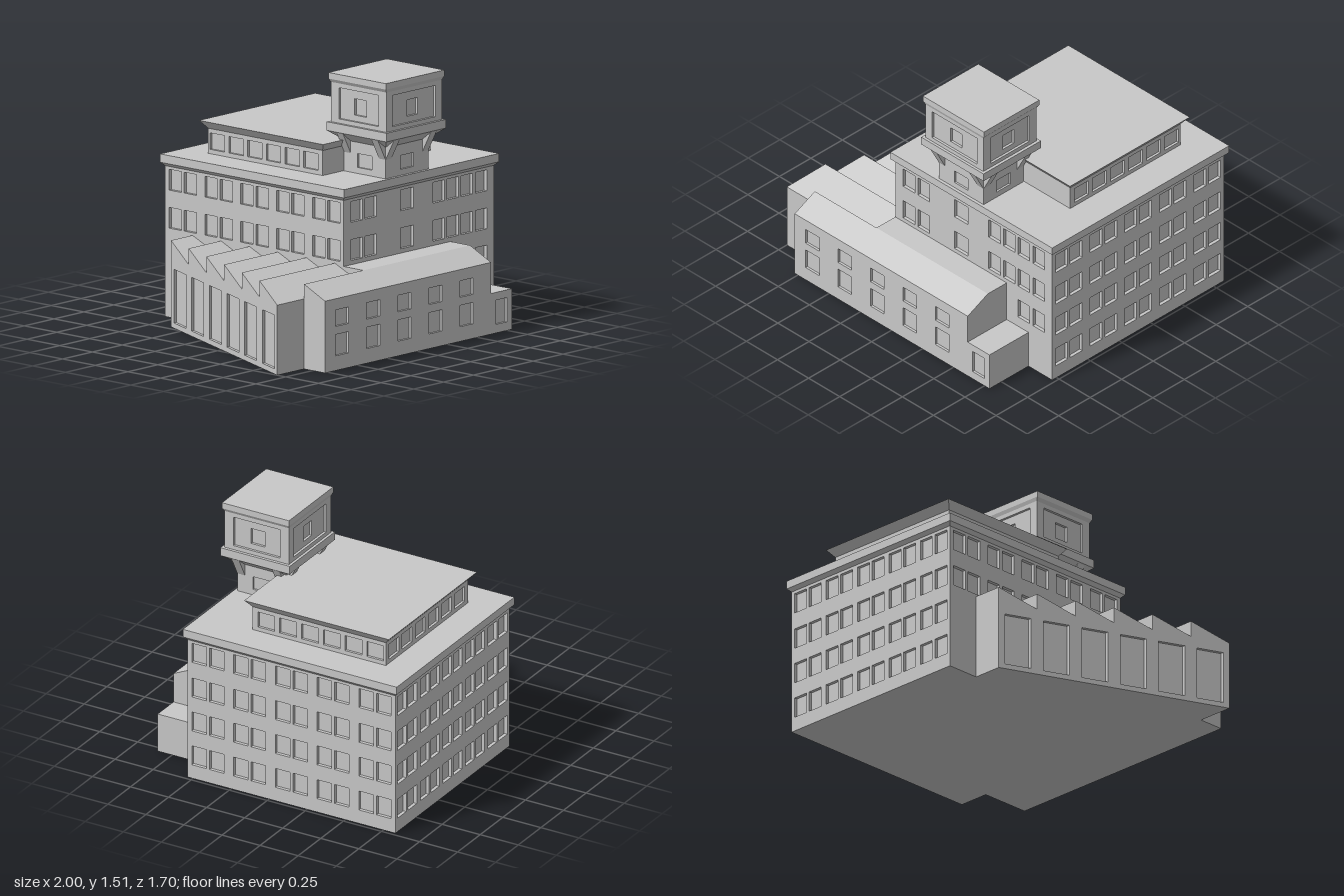
import * as THREE from 'three';

export function createModel() {
  const model = new THREE.Group();
  model.name = 'factoryBuilding';
  const concrete = new THREE.MeshStandardMaterial({ color: 0xc8c8c8 });
  concrete.name = 'grey concrete';

  const add = (name, geometry, x = 0, y = 0, z = 0) => {
    const mesh = new THREE.Mesh(geometry, concrete);
    mesh.name = name;
    mesh.position.set(x, y, z);
    model.add(mesh);
    return mesh;
  };

  // Block between a lower and an upper rectangle [x0, x1, z0, z1]
  const block = (name, y0, y1, low, high = low) => {
    const geo = new THREE.BoxGeometry(1, 1, 1);
    const p = geo.attributes.position;
    for (let i = 0; i < p.count; i++) {
      const up = p.getY(i) > 0;
      const r = up ? high : low;
      p.setXYZ(i, p.getX(i) > 0 ? r[1] : r[0], up ? y1 : y0, p.getZ(i) > 0 ? r[3] : r[2]);
    }
    geo.computeVertexNormals();
    return add(name, geo);
  };

  const outline = (points) => new THREE.Shape(points.map(([u, v]) => new THREE.Vector2(u, v)));
  const rect = (u0, u1, v0, v1) => [[u0, v0], [u1, v0], [u1, v1], [u0, v1]];

  // Flat wall of the given outline, pierced by openings [u0, u1, v0, v1]
  const wall = (points, openings, depth) => {
    const shape = outline(points);
    for (const o of openings) shape.holes.push(new THREE.Path(outline(rect(...o)).getPoints()));
    return new THREE.ExtrudeGeometry(shape, { depth, bevelEnabled: false });
  };

  // Solid core clad in four walls, so that every opening is a recess
  const clad = (name, [x0, x1, z0, z1], y0, y1, d, { front = [], back = [], left = [], right = [] }) => {
    block(name + 'Core', y0, y1, [x0 + d, x1 - d, z0 + d, z1 - d]);
    const across = rect(x0, x1, y0, y1);
    const along = rect(z0 + d, z1 - d, y0, y1);
    add(name + 'FrontWall', wall(across, front, d), 0, 0, z1 - d);
    add(name + 'BackWall', wall(across, back, d), 0, 0, z0);
    add(name + 'LeftWall', wall(along, left, d).rotateY(-Math.PI / 2), x1);
    add(name + 'RightWall', wall(along, right, d).rotateY(-Math.PI / 2), x0 + d);
  };

  const windows = (centres, width, rows) =>
    rows.flatMap(([v0, v1]) => centres.map((c) => [c - width / 2, c + width / 2, v0, v1]));
  const spaced = (n, first, step) => Array.from({ length: n }, (_, i) => first + i * step);
  const pairs = (centres) => centres.flatMap((c) => [c - 0.058, c + 0.058]);

  // Main block
  const floors = [[0.085, 0.205], [0.3, 0.42], [0.515, 0.635], [0.735, 0.855]];
  const sidePairs = pairs(spaced(5, -0.695, 0.2743));
  clad('mainBlock', [-0.28, 0.98, -0.83, 0.535], 0, 0.88, 0.02, {
    front: [
      ...windows([-0.17, -0.052, 0.517, 0.635], 0.095, floors.slice(2)),
      ...windows([0.25], 0.11, floors.slice(2)),
      ...windows([0.752, 0.872], 0.095, floors.slice(1)),
    ],
    back: windows(pairs(spaced(5, -0.15, 0.25)), 0.095, floors),
    left: windows(sidePairs, 0.095, floors),
    right: windows(sidePairs, 0.095, floors.slice(2)),
  });
  const eaves = [-0.3, 1, -0.85, 0.555];
  block('mainCorniceFlare', 0.872, 0.892, [-0.28, 0.98, -0.83, 0.535], eaves);
  block('mainCornice', 0.892, 0.94, eaves);

  // Penthouse with a flared roof
  const loft = [[0.965, 1.06]];
  const loftSide = windows(spaced(6, -0.59, 0.143), 0.11, loft);
  clad('penthouse', [-0.105, 0.8, -0.66, 0.215], 0.94, 1.085, 0.015, {
    back: windows(spaced(6, -0.015, 0.145), 0.11, loft),
    left: loftSide,
    right: loftSide,
  });
  block('penthouseRoof', 1.085, 1.13, [-0.105, 0.8, -0.66, 0.215], [-0.14, 0.835, -0.7, 0.25]);

  // Tower stem
  const cx = 0.25, cz = 0.378;
  const about = (hx, hz) => [cx - hx, cx + hx, cz - hz, cz + hz];
  const stemX = [[cx - 0.055, cx + 0.055, 0.975, 1.055]];
  const stemZ = [[cz - 0.055, cz + 0.055, 0.975, 1.055]];
  clad('towerStem', about(0.18, 0.158), 0.94, 1.18, 0.012,
    { front: stemX, back: stemX, left: stemZ, right: stemZ });

  // Tower platform on brackets
  block('towerSoffit', 1.12, 1.175, about(0.18, 0.158), about(0.25, 0.228));
  block('towerPlatform', 1.175, 1.225, about(0.25, 0.228));
  for (let i = 0; i < 4; i++) {
    const [out, side] = i % 2 ? [0.158, 0.18] : [0.18, 0.158];
    for (const s of [-side, side - 0.05]) {
      const geo = wall([[0, 1.05], [0.068, 1.178], [0, 1.178]], [], 0.05);
      geo.translate(out, 0, s);
      add('towerBracket', geo, cx, 0, cz).rotation.y = (i * Math.PI) / 2;
    }
  }

  // Tower head: framed walls, recessed panels and deeper windows
  const panelX = [[cx - 0.18, cx + 0.18, 1.25, 1.43]];
  const panelZ = [[cz - 0.152, cz + 0.152, 1.25, 1.43]];
  const paneX = [[cx - 0.045, cx + 0.045, 1.285, 1.38]];
  const paneZ = [[cz - 0.045, cz + 0.045, 1.285, 1.38]];
  clad('towerPanel', about(0.217, 0.197), 1.225, 1.47, 0.015,
    { front: paneX, back: paneX, left: paneZ, right: paneZ });
  const frame = 0.015;
  for (const s of [-1, 1]) {
    const endZ = s > 0 ? cz + 0.197 : cz - 0.197 - frame;
    add('towerFrame', wall(rect(cx - 0.232, cx + 0.232, 1.225, 1.47), panelX, frame), 0, 0, endZ);
    const endX = s > 0 ? cx + 0.217 + frame : cx - 0.217;
    add('towerFrame', wall(rect(cz - 0.197, cz + 0.197, 1.225, 1.47), panelZ, frame)
      .rotateY(-Math.PI / 2), endX);
  }
  block('towerCorniceFlare', 1.455, 1.475, about(0.232, 0.212), about(0.245, 0.22));
  block('towerCornice', 1.475, 1.51, about(0.245, 0.22));

  // Front wing with a sloping front roof edge
  const wing = wall([[0.685, 0], [0.83, 0], [0.83, 0.4], [0.845, 0.4], [0.845, 0.415], [0.685, 0.49]],
    [], 1.39);
  add('frontWing', wing.rotateY(-Math.PI / 2), 0.615);
  add('frontWingWall', wall(rect(-0.775, 0.615, 0, 0.4),
    windows(spaced(5, -0.632, 0.2605), 0.11, [[0.085, 0.208], [0.255, 0.35]]), 0.015), 0, 0, 0.83);
  block('frontWingLink', 0, 0.49, [-0.28, 0.615, 0.53, 0.685]);

  // Entrance porch
  block('porch', 0, 0.235, [0.615, 0.79, 0.53, 0.83]);
  add('porchWall', wall(rect(0.615, 0.79, 0, 0.235), [[0.655, 0.75, 0.05, 0.19]], 0.015), 0, 0, 0.83);

  // Sawtooth hall, its outer wall following a slanted line
  const zBack = -0.62, pitch = 0.2175, teeth = 6;
  const edge = (z) => -0.46 - (0.54 * (z - zBack)) / (pitch * teeth);
  const profile = [[zBack, 0]];
  const bays = [];
  profile.push([zBack + pitch * teeth, 0]);
  for (let i = teeth - 1; i >= 0; i--) {
    const z = zBack + i * pitch;
    profile.push([z + pitch, 0.405], [z, 0.5]);
    bays.push([z + 0.035, z + pitch - 0.035, 0.03, 0.34]);
  }
  const slanted = (name, openings, inner, outer) => {
    const geo = wall(profile, openings, 1).rotateY(-Math.PI / 2);
    const p = geo.attributes.position;
    for (let i = 0; i < p.count; i++) {
      const z = p.getZ(i);
      p.setX(i, p.getX(i) > -0.5 ? inner(z) : outer(z));
    }
    geo.computeVertexNormals();
    add(name, geo);
  };
  const recess = (z) => edge(z) + 0.02;
  slanted('sawtoothHall', [], () => -0.28, recess);
  slanted('sawtoothHallWall', bays, recess, edge);

  return model;
}
